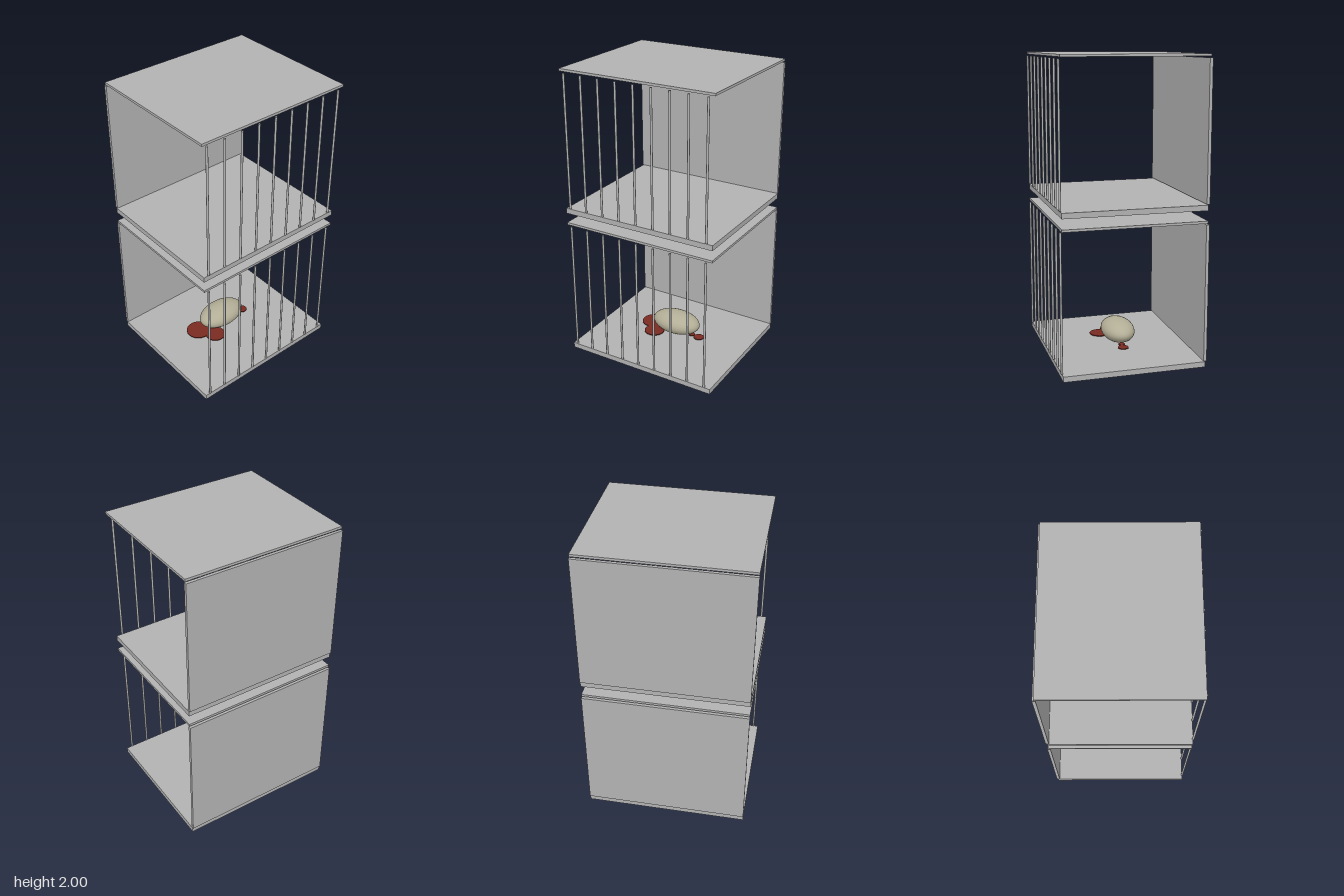
import * as THREE from 'three';

export function createModel() {
  const model = new THREE.Group();
  model.name = 'stackedCages';

  const mat = (name, color) => {
    const m = new THREE.MeshStandardMaterial({ color });
    m.name = name;
    return m;
  };
  const grey = mat('greyMetal', 0xb2b2b2);
  const beige = mat('paleBeige', 0xb3ae96);
  const red = mat('darkRed', 0x7a2a22);

  const add = (parent, name, geometry, material, x, y, z) => {
    const mesh = new THREE.Mesh(geometry, material);
    mesh.name = name;
    mesh.position.set(x, y, z);
    parent.add(mesh);
    return mesh;
  };

  // One cage: floor, roof, back panel and a row of front bars
  const WIDTH = 1.086, DEPTH = 0.937, BOTTOM = 0.04, TOP = 0.942;
  const HEIGHT = TOP - BOTTOM, MID = (TOP + BOTTOM) / 2;
  const floorGeo = new THREE.BoxGeometry(WIDTH, 0.036, DEPTH);
  const roofGeo = new THREE.BoxGeometry(WIDTH, 0.016, DEPTH);
  const backGeo = new THREE.BoxGeometry(WIDTH, HEIGHT, 0.02);
  const barGeo = new THREE.CylinderGeometry(0.0075, 0.0075, HEIGHT, 12);

  const buildCage = (name, y) => {
    const cage = new THREE.Group();
    cage.name = name;
    cage.position.y = y;
    add(cage, 'floor', floorGeo, grey, 0, 0.018, 0);
    add(cage, 'roof', roofGeo, grey, 0, 0.959, 0);
    add(cage, 'backPanel', backGeo, grey, 0, MID, -0.468);
    for (let i = 0; i < 9; i++) {
      add(cage, 'frontBar', barGeo, grey, -0.509 + i * 0.1261, MID, 0.469);
    }
    model.add(cage);
  };
  buildCage('lowerCage', 0);
  buildCage('upperCage', 1.033);

  // Rounded body lying on the lower floor
  const body = add(model, 'body', new THREE.SphereGeometry(1, 32, 20), beige, 0, 0.115, -0.034);
  body.scale.set(0.178, 0.078, 0.111);

  // Thin round patches beside the body: x, z, radius
  const patches = [
    [-0.2, -0.05, 0.085],
    [-0.13, 0.06, 0.07],
    [0.19, -0.02, 0.036],
    [0.13, -0.026, 0.022],
  ];
  patches.forEach(([x, z, r], i) => {
    const geo = new THREE.CylinderGeometry(r, r, 0.005, 24);
    add(model, 'floorPatch', geo, red, x, 0.05 + i * 0.0004, z);
  });

  return model;
}
